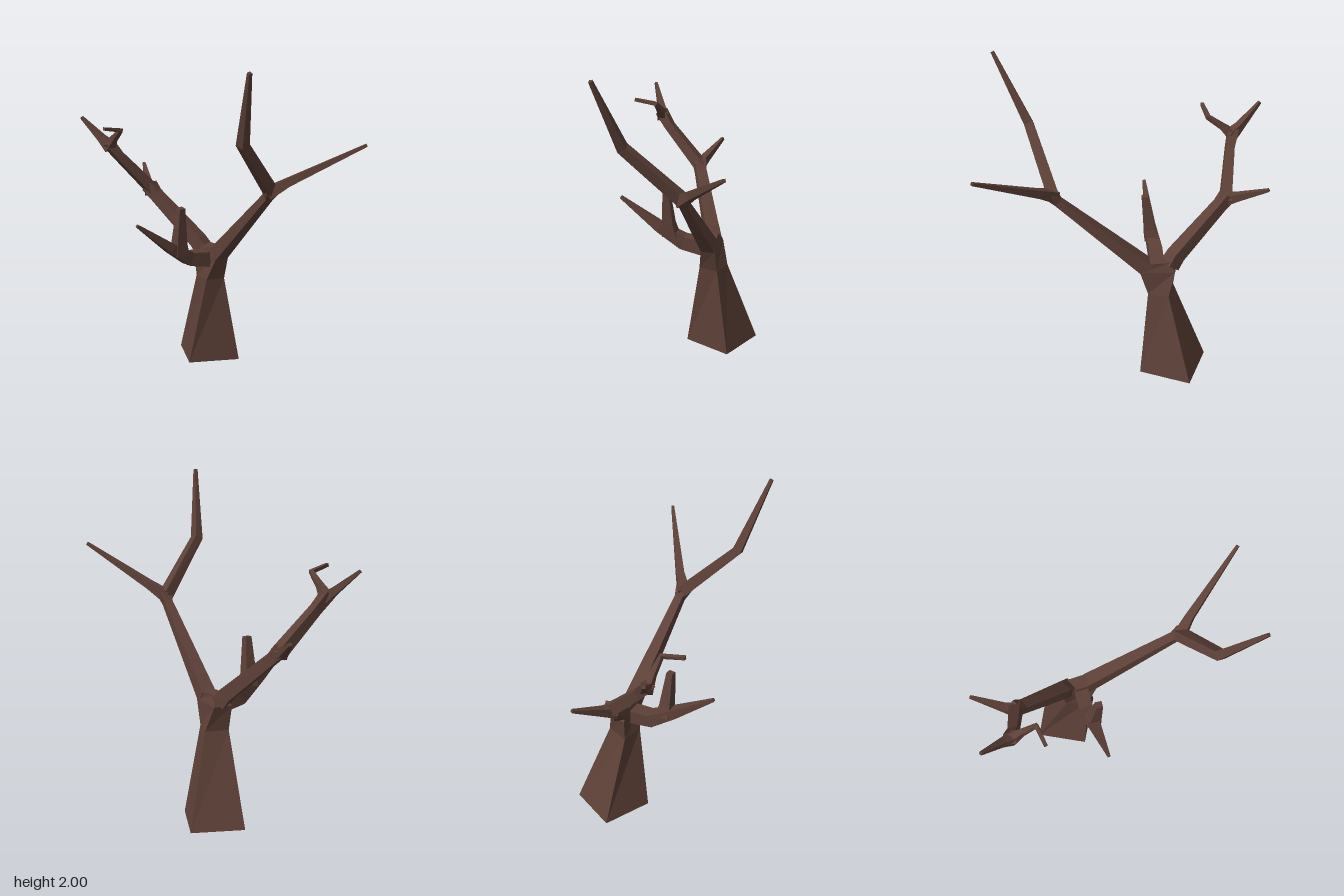
import * as THREE from 'three';

const bark = new THREE.MeshStandardMaterial({ color: 0x5d4037, flatShading: true });
const Y = new THREE.Vector3(0, 1, 0);
const Z = new THREE.Vector3(0, 0, 1);

// Skin a stack of four-cornered rings (counterclockwise seen from the tip), capped at both ends
function loft(name, rings) {
  const pos = [];
  const quad = (a, b, c, d) => [a, b, c, a, c, d].forEach((p) => pos.push(p.x, p.y, p.z));
  for (let r = 0; r < rings.length - 1; r++) {
    for (let i = 0; i < 4; i++) {
      const j = (i + 1) % 4;
      quad(rings[r][i], rings[r][j], rings[r + 1][j], rings[r + 1][i]);
    }
  }
  const first = rings[0], last = rings[rings.length - 1];
  quad(first[3], first[2], first[1], first[0]);
  quad(last[0], last[1], last[2], last[3]);
  const geometry = new THREE.BufferGeometry();
  geometry.setAttribute('position', new THREE.Float32BufferAttribute(pos, 3));
  geometry.computeVertexNormals();
  const mesh = new THREE.Mesh(geometry, bark);
  mesh.name = name;
  return mesh;
}

// Square limb through sections [x, y, z, halfWidth, halfHeight]
function limb(name, sections, ref = Y) {
  const pts = sections.map((s) => new THREE.Vector3(s[0], s[1], s[2]));
  const rings = sections.map(([, , , w, h = w], i) => {
    const t = new THREE.Vector3();
    if (i > 0) t.add(pts[i].clone().sub(pts[i - 1]).normalize());
    if (i < pts.length - 1) t.add(pts[i + 1].clone().sub(pts[i]).normalize());
    t.normalize();
    const side = ref.clone().cross(t).normalize();
    const up = t.clone().cross(side);
    return [[-1, -1], [1, -1], [1, 1], [-1, 1]].map(([a, b]) =>
      pts[i].clone().addScaledVector(side, a * w).addScaledVector(up, b * h));
  });
  return loft(name, rings);
}

export function createModel() {
  const tree = new THREE.Group();
  tree.name = 'bareTree';

  // Trunk: a wide turned base narrowing to the neck, then a crown the branches leave from
  const level = (y, corners) => corners.map(([x, z]) => new THREE.Vector3(x, y, z));
  tree.add(loft('trunk', [
    level(0, [[-0.03, -0.22], [0.27, -0.085], [0.4, -0.39], [0.1, -0.515]]),
    level(0.56, [[0.065, -0.16], [0.185, -0.135], [0.225, -0.26], [0.085, -0.3]]),
    level(0.715, [[0.09, -0.09], [0.18, -0.085], [0.185, -0.3], [0.075, -0.32]]),
    level(0.775, [[0.09, -0.14], [0.175, -0.14], [0.165, -0.27], [0.085, -0.27]]),
  ]));

  // Front branch and its fork
  tree.add(
    limb('frontBranch', [
      [0.135, 0.73, -0.13, 0.045], [0.115, 1.21, 0.4, 0.027, 0.022], [0.11, 1.26, 0.44, 0.045, 0.026],
    ]),
    limb('frontTallTwig', [
      [0.11, 1.25, 0.43, 0.034], [-0.195, 1.575, 0.565, 0.028], [-0.298, 1.995, 0.758, 0.01],
    ], Z),
    limb('frontSideTwig', [[0.1, 1.24, 0.425, 0.036], [0.18, 1.31, 0.51, 0.025], [0.45, 1.55, 0.862, 0.009]]),
  );

  // Back branch with two successive forks
  tree.add(
    limb('backBranch', [
      [0.125, 0.73, -0.27, 0.045], [0.1, 0.79, -0.31, 0.043],
      [-0.04, 1.06, -0.59, 0.034], [-0.06, 1.11, -0.635, 0.04],
    ]),
    limb('backLowTwig', [[-0.065, 1.08, -0.61, 0.036], [-0.035, 1.115, -0.69, 0.024], [0.045, 1.207, -0.868, 0.009]]),
    limb('backUpperBranch', [
      [-0.04, 1.08, -0.62, 0.036], [-0.27, 1.33, -0.665, 0.028], [-0.335, 1.42, -0.69, 0.033],
    ], Z),
    limb('backTallTwig', [[-0.32, 1.385, -0.67, 0.034], [-0.35, 1.44, -0.735, 0.022], [-0.422, 1.563, -0.86, 0.009]]),
    limb('backBentTwig', [
      [-0.325, 1.385, -0.69, 0.032], [-0.325, 1.45, -0.62, 0.018],
      [-0.327, 1.515, -0.53, 0.013], [-0.46, 1.54, -0.505, 0.01],
    ]),
  );

  // Side branch with one upright stub
  tree.add(
    limb('sideBranch', [
      [0.13, 0.69, -0.195, 0.045, 0.05], [-0.05, 0.72, -0.193, 0.043, 0.043],
      [-0.2, 0.815, -0.168, 0.034, 0.03], [-0.45, 1.0, -0.148, 0.009],
    ]),
    limb('sideStub', [[-0.13, 0.77, -0.175, 0.045], [-0.138, 0.84, -0.163, 0.036], [-0.145, 1.07, -0.132, 0.02]], Z),
  );
  return tree;
}
